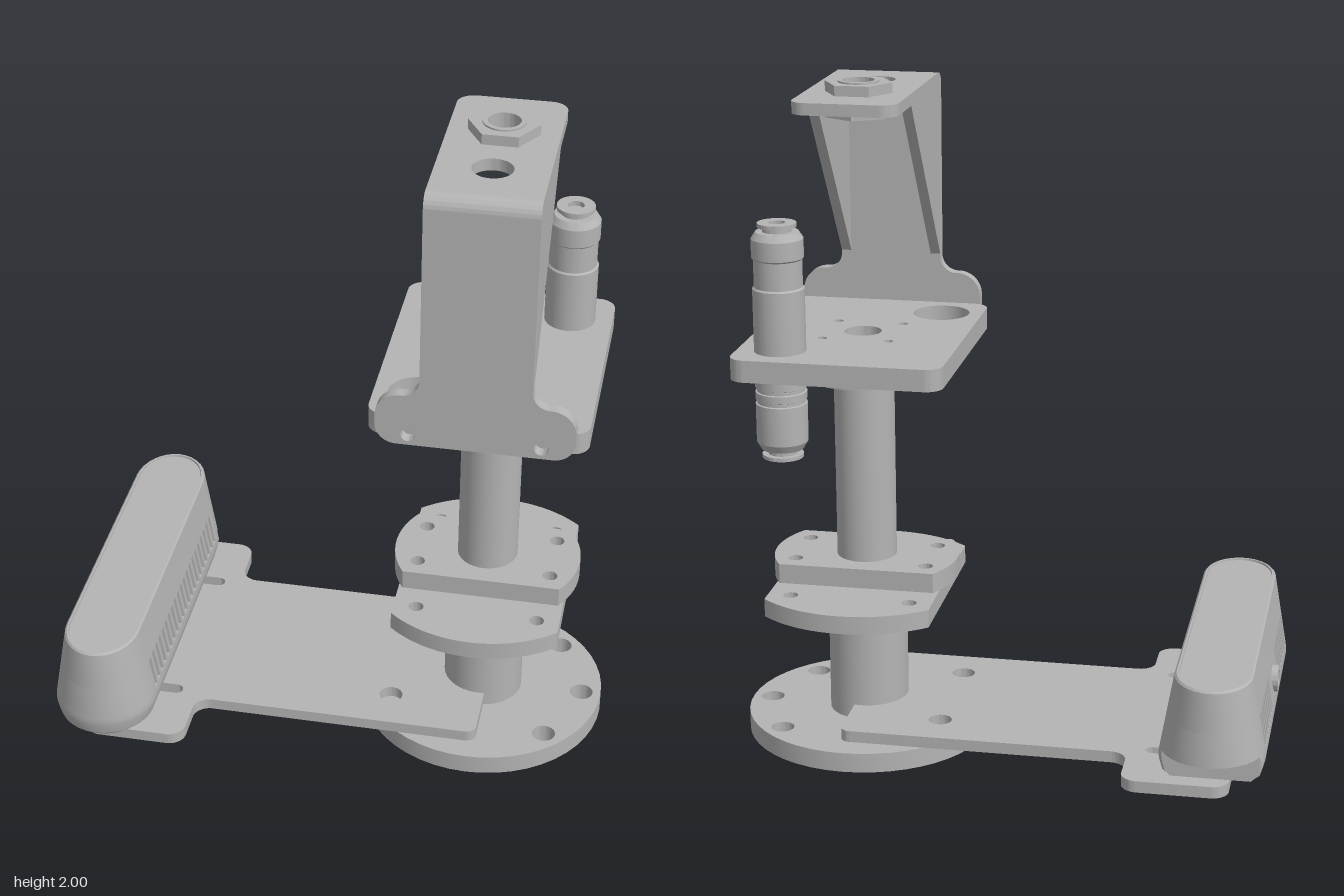
import * as THREE from 'three';
import { toCreasedNormals } from 'three/addons/utils/BufferGeometryUtils.js';

const grey = new THREE.MeshStandardMaterial({ color: 0xb4b4b4 });
grey.name = 'machined grey';

const AXIS = 0.44; // x of the column

function add(group, name, geo, x = 0, y = 0, z = 0) {
  const mesh = new THREE.Mesh(geo, grey);
  mesh.name = name;
  mesh.position.set(x, y, z);
  group.add(mesh);
  return mesh;
}

function extrude(shape, depth) {
  const geo = new THREE.ExtrudeGeometry(shape, { depth, bevelEnabled: false, curveSegments: 24 });
  return toCreasedNormals(geo, 0.5);
}

// Horizontal plate: shape coordinates are (x, -z)
const flat = (shape, depth) => extrude(shape, depth).rotateX(-Math.PI / 2);
// Side plate: shape coordinates are (-z, y), thickness runs to +x
const side = (shape, depth) => extrude(shape, depth).rotateY(Math.PI / 2);

function hole(shape, x, z, r) {
  const p = new THREE.Path();
  p.absarc(x, -z, r, 0, Math.PI * 2, true);
  shape.holes.push(p);
}

function circle(r) {
  const s = new THREE.Shape();
  s.absarc(0, 0, r, 0, Math.PI * 2, false);
  return s;
}

// Disc with two opposite sides cut straight at x = +-a
function clippedDisc(R, a) {
  const t = Math.acos(a / R), s = new THREE.Shape();
  s.absarc(0, 0, R, t, Math.PI - t, false);
  s.absarc(0, 0, R, Math.PI + t, Math.PI * 2 - t, false);
  s.closePath();
  return s;
}

// Polygon [x, y, cornerRadius] with rounded corners
function rounded(points) {
  const s = new THREE.Shape(), n = points.length;
  const v = points.map(p => new THREE.Vector2(p[0], p[1]));
  points.forEach((p, i) => {
    const to = (q) => v[i].clone().add(q.clone().sub(v[i]).setLength(p[2]));
    const a = p[2] ? to(v[(i + n - 1) % n]) : v[i];
    const b = p[2] ? to(v[(i + 1) % n]) : v[i];
    if (i) s.lineTo(a.x, a.y); else s.moveTo(a.x, a.y);
    if (p[2]) {
      const k = 0.55;
      const c = a.clone().lerp(v[i], k), d = b.clone().lerp(v[i], k);
      s.bezierCurveTo(c.x, c.y, d.x, d.y, b.x, b.y);
    }
  });
  s.closePath();
  return s;
}

// Solid through convex rings of [x, y, z], listed from bottom to top
function loft(rings) {
  const pos = [], n = rings[0].length;
  const tri = (a, b, c) => pos.push(...a, ...b, ...c);
  for (let k = 0; k + 1 < rings.length; k++) {
    for (let i = 0; i < n; i++) {
      const j = (i + 1) % n, lo = rings[k], hi = rings[k + 1];
      tri(lo[i], hi[j], lo[j]);
      tri(lo[i], hi[i], hi[j]);
    }
  }
  const first = rings[0], last = rings[rings.length - 1];
  for (let i = 1; i + 1 < n; i++) {
    tri(first[0], first[i], first[i + 1]);
    tri(last[0], last[i + 1], last[i]);
  }
  const geo = new THREE.BufferGeometry();
  geo.setAttribute('position', new THREE.Float32BufferAttribute(pos, 3));
  return toCreasedNormals(geo, 0.5);
}

function buildColumn(root) {
  const g = new THREE.Group();
  g.name = 'column';
  g.position.x = AXIS;
  root.add(g);

  const base = circle(0.37);
  for (let i = 0; i < 4; i++) {
    const a = Math.PI / 4 + i * Math.PI / 2;
    hole(base, 0.31 * Math.cos(a), 0.31 * Math.sin(a), 0.035);
  }
  hole(base, 0.31, 0, 0.035);
  add(g, 'baseDisc', flat(base, 0.06));
  add(g, 'lowerPost', new THREE.CylinderGeometry(0.12, 0.12, 0.39, 48), 0, 0.25);

  const lower = clippedDisc(0.37, 0.248), upper = clippedDisc(0.28, 0.152);
  for (const sx of [-1, 1]) for (const sz of [-1, 1]) {
    hole(lower, sx * 0.18, sz * 0.23, 0.022);
    hole(upper, sx * 0.09, sz * 0.2, 0.022);
  }
  add(g, 'lowerFlange', flat(lower, 0.055), 0, 0.44);
  add(g, 'upperFlange', flat(upper, 0.06).rotateY(Math.PI / 2), 0, 0.5);
  add(g, 'flangeSpacer', new THREE.CylinderGeometry(0.12, 0.12, 0.02, 40), 0, 0.497);

  const tube = circle(0.09);
  hole(tube, 0, 0, 0.055);
  add(g, 'upperPost', flat(tube, 0.57), 0, 0.56);
  const collar = circle(0.182);
  hole(collar, 0, 0, 0.055);
  for (let i = 0; i < 4; i++) {
    const a = Math.PI / 4 + i * Math.PI / 2;
    hole(collar, 0.14 * Math.cos(a), 0.14 * Math.sin(a), 0.014);
  }
  add(g, 'collar', flat(collar, 0.065), 0, 1.125);

  const deck = rounded([[-0.31, -0.37, 0.05], [0.31, -0.37, 0.05], [0.31, 0.375, 0.05], [-0.31, 0.375, 0.05]]);
  hole(deck, 0, 0, 0.055);
  hole(deck, -0.185, 0.245, 0.085);
  for (let i = 0; i < 4; i++) {
    const a = Math.PI / 4 + i * Math.PI / 2;
    hole(deck, 0.14 * Math.cos(a), 0.14 * Math.sin(a), 0.014);
  }
  add(g, 'deck', flat(deck, 0.065), 0, 1.19);
}

function buildBracket(root) {
  const g = new THREE.Group();
  g.name = 'bracket';
  g.position.x = AXIS;
  root.add(g);

  // Upright with a wide rounded foot
  const right = [[0.278, 1.19, 0.06], [0.278, 1.348, 0.07], [0.155, 1.348, 0.05], [0.155, 1.926, 0]];
  const left = right.map(([x, y, r]) => [-x, y, r]).reverse();
  const front = rounded([...right, ...left]);
  for (const s of [-1, 1]) hole(front, s * 0.185, -1.222, 0.02);
  add(g, 'upright', extrude(front, 0.035), 0, 0, 0.375);

  // Quarter bend joining upright and top
  const bend = new THREE.Shape();
  bend.absarc(-0.37, 1.925, 0.04, Math.PI, Math.PI / 2, true);
  bend.absarc(-0.37, 1.925, 0.005, Math.PI / 2, Math.PI, false);
  bend.closePath();
  add(g, 'bend', side(bend, 0.31), -0.155);

  const top = rounded([[-0.155, -0.37, 0], [0.155, -0.37, 0], [0.155, 0.21, 0.05], [-0.155, 0.21, 0.05]]);
  hole(top, 0, 0, 0.05);
  hole(top, 0, 0.22, 0.057);
  add(g, 'topPlate', flat(top, 0.035), 0, 1.93);

  const web = new THREE.Shape([[-0.38, 1.4], [0.01, 1.935], [-0.38, 1.935]].map(p => new THREE.Vector2(...p)));
  for (const x of [-0.155, 0.125]) add(g, 'gusset', side(web, 0.03), x);

  // Hex nuts above and below the top plate, with a threaded sleeve
  const hex = new THREE.Shape();
  for (let i = 0; i < 6; i++) {
    const a = i * Math.PI / 3;
    hex[i ? 'lineTo' : 'moveTo'](0.1 * Math.cos(a), 0.1 * Math.sin(a));
  }
  hex.closePath();
  hole(hex, 0, 0, 0.058);
  add(g, 'upperNut', flat(hex, 0.03), 0, 1.965);
  add(g, 'lowerNut', flat(hex, 0.033).rotateY(Math.PI / 6), 0, 1.897);
  const sleeve = circle(0.06);
  hole(sleeve, 0, 0, 0.046);
  add(g, 'sleeve', flat(sleeve, 0.108), 0, 1.892);
}

function buildProbe(root) {
  const profile = [
    [0, 0.935], [0.06, 0.935], [0.06, 0.946], [0.042, 0.946], [0.042, 0.96], [0.062, 0.962],
    [0.075, 0.985], [0.075, 1.1], [0.07, 1.102], [0.07, 1.112], [0.075, 1.114], [0.075, 1.135],
    [0.07, 1.137], [0.07, 1.147], [0.075, 1.149], [0.075, 1.44], [0.07, 1.445], [0.07, 1.525],
    [0.075, 1.53], [0.075, 1.585], [0.062, 1.605], [0.042, 1.605], [0.042, 1.618], [0.056, 1.618],
    [0.056, 1.63], [0.024, 1.63], [0.024, 1.615], [0, 1.615],
  ].map(p => new THREE.Vector2(...p));
  add(root, 'probe', toCreasedNormals(new THREE.LatheGeometry(profile, 40), 0.4), 0.625, 0, -0.247);
}

function buildArm(root) {
  const half = [[0.46, -0.31, 0.03], [-0.405, -0.31, 0.05], [-0.405, -0.495, 0.05], [-0.715, -0.495, 0.05]];
  const outline = [...half.map(([x, y, r]) => [x, -y, r]), ...half.slice().reverse()];
  const arm = rounded(outline);
  for (const s of [-1, 1]) {
    const slot = new THREE.Path();
    slot.absarc(-0.475, s * 0.28, 0.02, Math.PI / 2, -Math.PI / 2, true);
    slot.absarc(-0.63, s * 0.28, 0.02, -Math.PI / 2, -Math.PI * 1.5, true);
    slot.closePath();
    arm.holes.push(slot);
    hole(arm, 0.18, s * 0.18, 0.035);
  }
  add(root, 'armPlate', flat(arm, 0.035), 0, 0.07);
}

function buildSensor(root) {
  const g = new THREE.Group();
  g.name = 'sensor';
  g.position.x = -0.66;
  root.add(g);
  const L = 0.4, N = 16;

  // Half width w and end reach e taper with height
  const taper = (y) => [y, 0.153 - (y - 0.17) * 0.172, 0.155 - (y - 0.17) * 0.06];
  const cap = ([y, w, e], s) => Array.from({ length: N + 1 }, (_, i) => {
    const a = i * Math.PI / N;
    return [s * w * Math.cos(a), y, s * (L + e * Math.sin(a))];
  });
  const stadium = (p, zMin = -1) =>
    [...cap(p, 1), ...cap(p, -1)].map(([x, y, z]) => [x, y, Math.max(z, zMin)]);

  // Lower body is cut short at the back end
  const foot = [[0.105, 0.125, 0.13], [0.12, 0.142, 0.145], [0.155, 0.152, 0.154], taper(0.17), taper(0.19)];
  add(g, 'lowerBody', loft(foot.map(p => stadium(p, -0.44))));
  // Upper body ends in a shallow recessed lid
  const crown = [taper(0.29), taper(0.41), [0.416, 0.106, 0.135], [0.416, 0.1, 0.129], [0.41, 0.099, 0.128]];
  add(g, 'upperBody', loft(crown.map(p => stadium(p))));
  for (const s of [-1, 1]) {
    add(g, 'endBody', loft([taper(0.19), taper(0.29)].map(p => cap(p, s))));
  }

  // Ribs with open vents between them
  const block = (z0, z1, x0 = 1, x1 = -1) => loft([0.19, 0.29].map(y => {
    const w = taper(y)[1];
    return [[x0 * w, y, z0], [x0 * w, y, z1], [x1 * w, y, z1], [x1 * w, y, z0]];
  }));
  const pitch = 0.0375;
  for (let i = -10; i <= 9; i++) {
    const z = (i + 0.5) * pitch;
    add(g, 'ventRib', block(z - 0.008, z + 0.008));
  }
  for (const s of [-1, 1]) add(g, 'ventEnd', block(s * 0.3925 - 0.009, s * 0.3925 + 0.009));
  add(g, 'lensBlock', block(-0.11, 0.11, 0.3, -1));
  const lens = circle(0.04);
  hole(lens, 0, 0, 0.026);
  add(g, 'lensRing', side(lens, 0.02), -0.157, 0.24, 0);
}

export function createModel() {
  const root = new THREE.Group();
  root.name = 'sensorStand';
  buildColumn(root);
  buildBracket(root);
  buildProbe(root);
  buildArm(root);
  buildSensor(root);
  return root;
}
